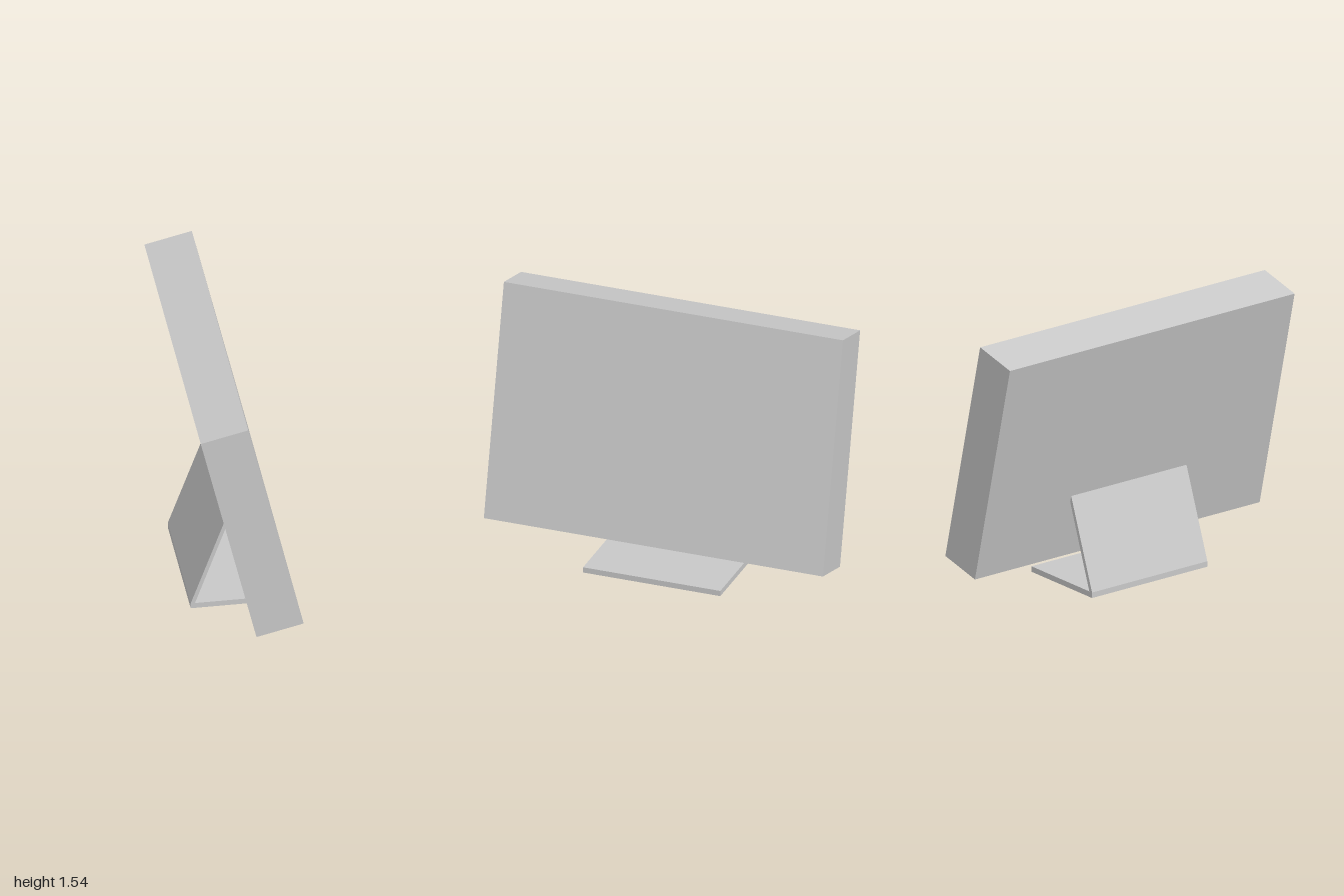
import * as THREE from 'three';

// Extrudes an x-y side profile along z between two positions.
function slab(name, points, zMin, zMax, material) {
  const shape = new THREE.Shape(points.map(([x, y]) => new THREE.Vector2(x, y)));
  const geometry = new THREE.ExtrudeGeometry(shape, { depth: zMax - zMin, bevelEnabled: false });
  geometry.translate(0, 0, zMin);
  const mesh = new THREE.Mesh(geometry, material);
  mesh.name = name;
  return mesh;
}

export function createModel() {
  const grey = new THREE.MeshStandardMaterial({ color: 0xc8c8c8 });
  grey.name = 'light grey';

  const model = new THREE.Group();
  model.name = 'monitor';

  // Thick display panel, leaning back and facing +x
  model.add(slab('displayPanel',
    [[0.022, 0.167], [0.285, 0.23], [-0.024, 1.542], [-0.289, 1.479]], -1, 1, grey));

  // Bent-plate stand: flat foot and sloping support in one profile
  model.add(slab('stand',
    [[-0.253, 0], [0.285, 0], [0.285, 0.032], [-0.229, 0.032],
      [-0.059, 0.508], [-0.068, 0.545], [-0.253, 0.032]], -0.395, 0.415, grey));

  return model;
}
